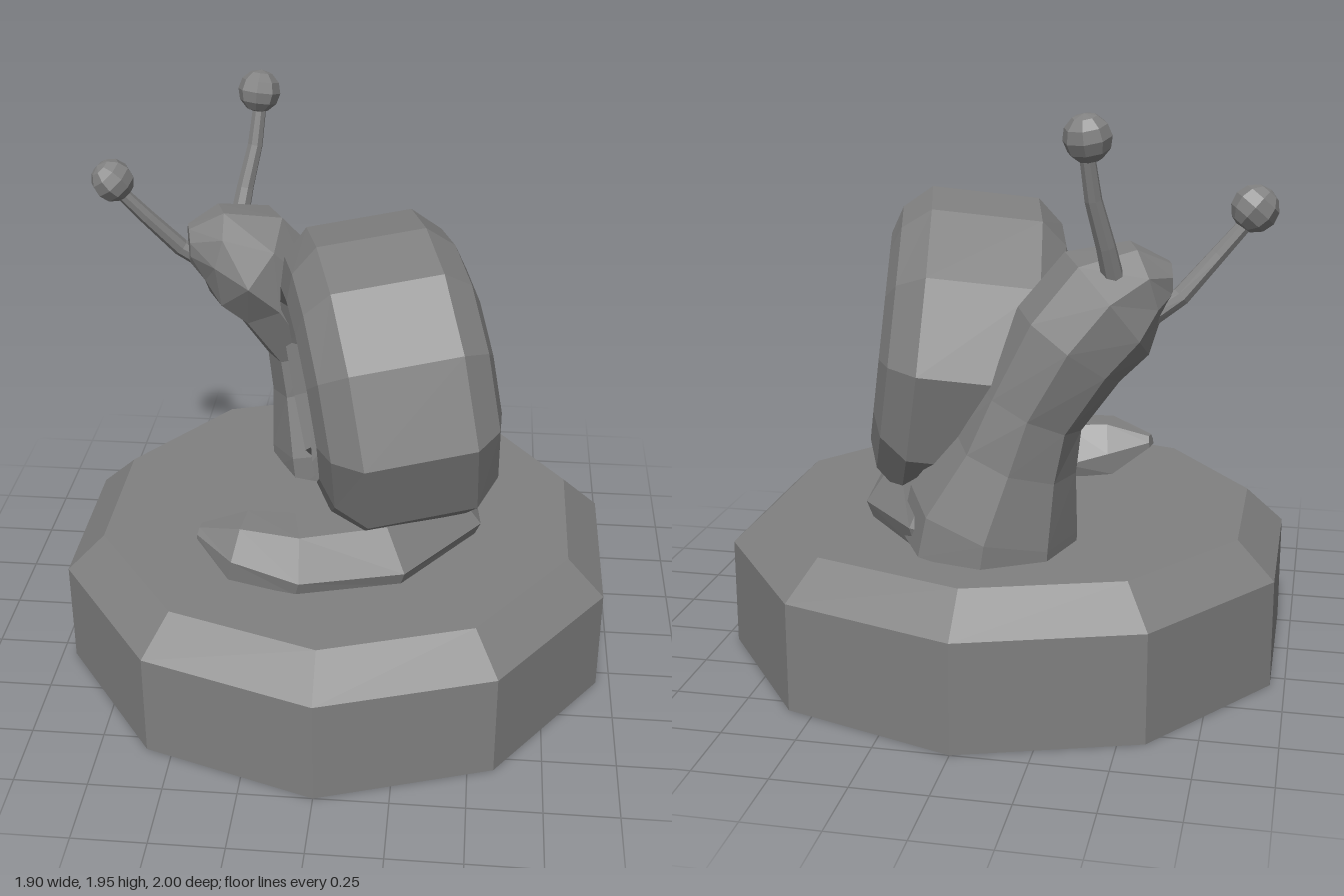
import * as THREE from 'three';

const stone = new THREE.MeshStandardMaterial({ color: 0x808080 });
stone.name = 'grey stone';
stone.flatShading = true;

const V = (x, y, z) => new THREE.Vector3(x, y, z);
const octagon = Array.from({ length: 8 }, (_, i) => {
  const a = (i + 0.5) * Math.PI / 4;
  return [Math.cos(a), Math.sin(a)];
});

// Skin closed cross-sections [x, y, z, sizeU, sizeV]; u follows ref, v = tangent x u
function loft(sections, ref, profile = octagon, floor = -Infinity) {
  const pts = sections.map(s => V(s[0], s[1], s[2]));
  const n = profile.length, last = pts.length - 1;
  const pos = [], idx = [];
  pts.forEach((p, i) => {
    const t = pts[Math.min(i + 1, last)].clone().sub(pts[Math.max(i - 1, 0)]).normalize();
    const u = ref.clone().addScaledVector(t, -ref.dot(t)).normalize();
    const v = t.clone().cross(u);
    for (const [a, b] of profile) {
      const q = p.clone().addScaledVector(u, a * sections[i][3]).addScaledVector(v, b * sections[i][4]);
      pos.push(q.x, Math.max(q.y, floor), q.z);
    }
  });
  for (let i = 0; i < last; i++) {
    for (let j = 0; j < n; j++) {
      const a = i * n + j, b = i * n + (j + 1) % n;
      idx.push(a, b, b + n, a, b + n, a + n);
    }
  }
  // End caps
  const c = pos.length / 3;
  pos.push(...pts[0].toArray(), ...pts[last].toArray());
  for (let j = 0; j < n; j++) {
    const k = (j + 1) % n;
    idx.push(c, k, j, c + 1, last * n + j, last * n + k);
  }
  const g = new THREE.BufferGeometry();
  g.setAttribute('position', new THREE.Float32BufferAttribute(pos, 3));
  g.setIndex(idx);
  const flat = g.toNonIndexed();
  flat.computeVertexNormals();
  return flat;
}

export function createModel() {
  const model = new THREE.Group();
  const add = (name, geometry, parent = model) => {
    const mesh = new THREE.Mesh(geometry, stone);
    mesh.name = name;
    parent.add(mesh);
    return mesh;
  };

  // Ten-sided plinth with a bevelled top edge
  add('plinth', new THREE.CylinderGeometry(1, 1, 0.375, 10)).position.y = 0.1875;
  add('plinthBevel', new THREE.CylinderGeometry(0.865, 1, 0.125, 10)).position.y = 0.4375;

  // Foot curling under the shell, from tail tip to neck, widest near the ground
  const footProfile = [[1, -0.5], [1, 0.5], [-0.1, 1], [-1, 0.9], [-1, -0.9], [-0.1, -1]];
  add('foot', loft([
    [-0.45, 0.625, 0.39, 0.02, 0.03],
    [-0.31, 0.60, 0.41, 0.09, 0.12],
    [-0.12, 0.56, 0.42, 0.12, 0.16],
    [0.13, 0.56, 0.32, 0.12, 0.21],
    [0.29, 0.56, 0.09, 0.13, 0.23],
    [0.25, 0.57, -0.20, 0.15, 0.23],
    [0.09, 0.59, -0.39, 0.17, 0.23],
    [-0.06, 0.58, -0.45, 0.13, 0.20],
  ], V(0, 1, 0), footProfile, 0.495));

  // Neck flaring at the ground, rising and bending forward into the head
  add('neckAndHead', loft([
    [0.00, 0.48, -0.42, 0.28, 0.30],
    [-0.02, 0.61, -0.42, 0.28, 0.29],
    [-0.10, 0.82, -0.45, 0.20, 0.21],
    [-0.15, 0.98, -0.45, 0.19, 0.18],
    [-0.27, 1.19, -0.43, 0.22, 0.20],
    [-0.385, 1.32, -0.39, 0.23, 0.21],
    [-0.50, 1.385, -0.35, 0.16, 0.14],
    [-0.58, 1.385, -0.33, 0.07, 0.07],
  ], V(0.5, 0, 0.85).normalize()));

  // Coiled shell: outer radius at every quarter turn, from closed centre to mouth
  const radii = [0.08, 0.14, 0.20, 0.27, 0.36, 0.49, 0.58, 0.53, 0.62, 0.58];
  const whorl = [];
  for (let deg = -540; deg <= 240; deg += 30) {
    const f = (deg + 540) / 90, k = Math.min(Math.floor(f), radii.length - 2);
    const R = THREE.MathUtils.lerp(radii[k], radii[k + 1], f - k);
    const a = THREE.MathUtils.degToRad(deg);
    const r = R * THREE.MathUtils.lerp(0.75, 0.28, Math.min(f / 6, 1));
    const c = R - r;
    whorl.push([0, c * Math.sin(a), c * Math.cos(a), Math.min(0.09 + R * 0.44, 0.31), r]);
  }
  const half = [[0.6, -1], [0.9, -0.45], [1, 0.2], [0.6, 1]];
  const shellProfile = [...half, ...half.map(([a, b]) => [-a, b]).reverse()];
  const shell = add('shell', loft(whorl, V(1, 0, 0), shellProfile));
  shell.position.set(0.17, 1.07, 0.045);
  shell.rotation.set(0, 0.25, 0.12);

  // Eye stalks with round tips
  const stalks = [
    [[-0.52, 1.28, -0.40], [-0.62, 1.35, -0.375], [-0.73, 1.48, -0.335], [-0.835, 1.605, -0.305]],
    [[-0.42, 1.42, -0.50], [-0.40, 1.53, -0.535], [-0.365, 1.68, -0.575], [-0.345, 1.85, -0.61]],
  ];
  for (const path of stalks) {
    const stalk = new THREE.Group();
    stalk.name = 'eyeStalk';
    model.add(stalk);
    add('stalk', loft(path.map((p, i) => [...p, 0.036 - i * 0.004, 0.036 - i * 0.004]), V(0, 0, 1)), stalk);
    const [x, y, z] = path[3];
    const eye = add('eyeTip', new THREE.SphereGeometry(0.077, 8, 6), stalk);
    eye.position.set(x - 0.005, y + 0.022, z);
    eye.quaternion.setFromUnitVectors(V(0, 1, 0), V(...path[3]).sub(V(...path[2])).normalize());
  }
  return model;
}
